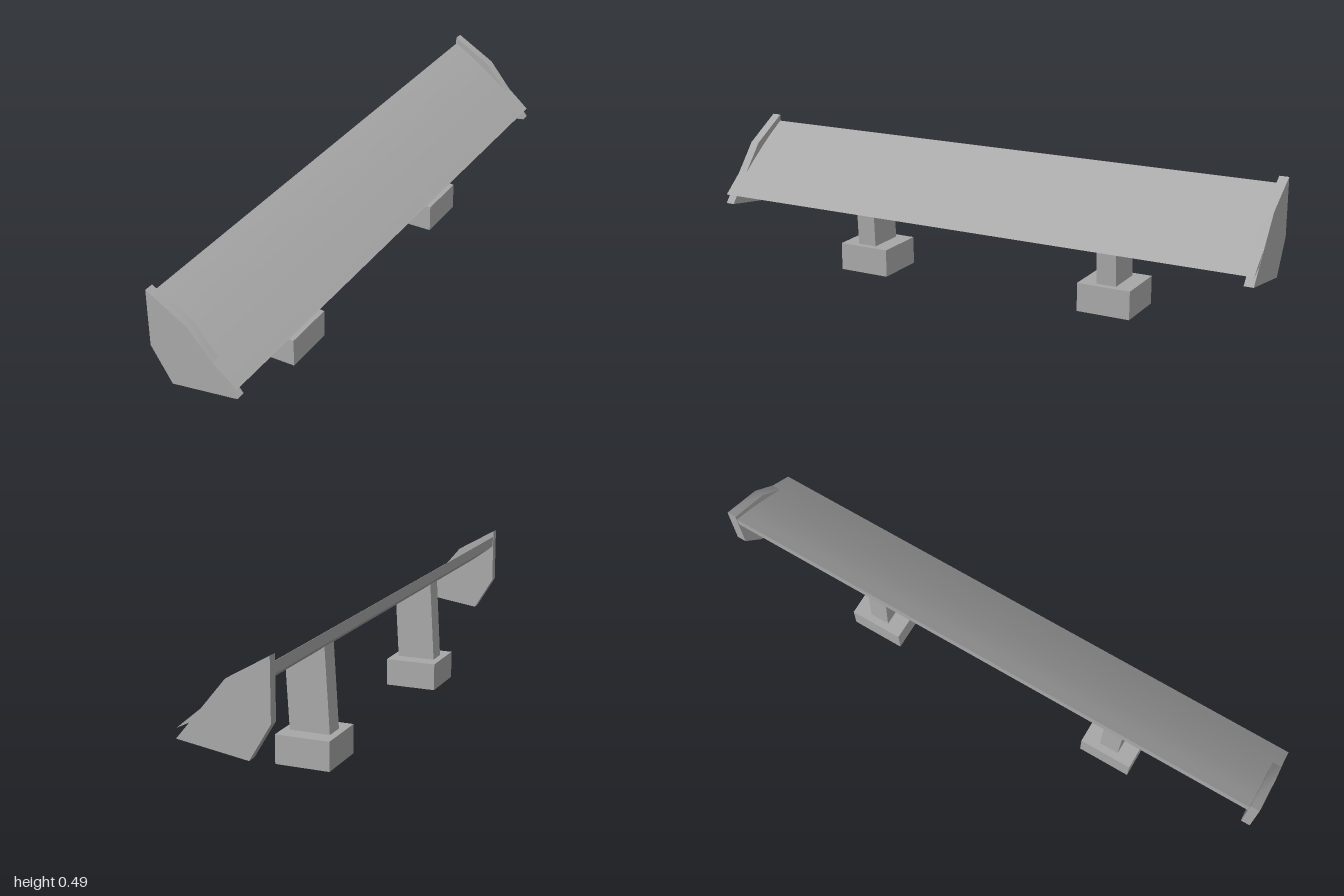
import * as THREE from 'three';
import { toCreasedNormals } from 'three/addons/utils/BufferGeometryUtils.js';

// Extrude an x-y outline along z, centred on z = 0
function slab(shape, width) {
  const geo = new THREE.ExtrudeGeometry(shape, { depth: width, bevelEnabled: false, curveSegments: 12 });
  return toCreasedNormals(geo.translate(0, 0, -width / 2), 0.4);
}

const outline = (points) => new THREE.Shape(points.map(([x, y]) => new THREE.Vector2(x, y)));
const vectors = (points) => points.map(([x, y]) => new THREE.Vector2(x, y));

export function createModel() {
  const grey = new THREE.MeshStandardMaterial({ color: 0xa8a8a8 });
  grey.name = 'plain grey';
  const model = new THREE.Group();
  model.name = 'rearWing';

  function add(parent, name, geometry, x = 0, y = 0, z = 0) {
    const mesh = new THREE.Mesh(geometry, grey);
    mesh.name = name;
    mesh.position.set(x, y, z);
    parent.add(mesh);
  }

  // Sloping blade: gently arched top, sharp leading edge, blunt trailing edge
  const blade = new THREE.Shape();
  blade.moveTo(-0.15, 0.428);
  blade.splineThru(vectors([[-0.06, 0.362], [0.03, 0.306], [0.105, 0.265], [0.148, 0.243]]));
  blade.splineThru(vectors([[0.077, 0.303], [0.0, 0.364], [-0.075, 0.418], [-0.15, 0.465]]));
  blade.closePath();
  add(model, 'wingBlade', slab(blade, 1.998));

  // End plates
  const plate = slab(outline([
    [-0.152, 0.292], [-0.082, 0.176], [0.15, 0.211], [-0.012, 0.407], [-0.152, 0.488],
  ]), 0.032);

  // Leaning posts, cut to meet the underside of the blade
  const post = slab(outline([
    [-0.104, 0.095], [0.034, 0.095], [0.046, 0.306], [-0.087, 0.392],
  ]), 0.07);

  // Square foot with a round socket opening downwards
  const foot = outline([[-0.093, -0.094], [0.093, -0.094], [0.093, 0.094], [-0.093, 0.094]]);
  const socket = new THREE.Path();
  socket.absarc(0, 0, 0.074, 0, Math.PI * 2, true);
  foot.holes.push(socket);
  const footBlock = toCreasedNormals(
    new THREE.ExtrudeGeometry(foot, { depth: 0.088, bevelEnabled: false, curveSegments: 32 }).rotateX(-Math.PI / 2), 0.6);
  const footCap = new THREE.BoxGeometry(0.186, 0.01, 0.188);

  for (const side of [1, -1]) {
    add(model, side > 0 ? 'frontEndPlate' : 'backEndPlate', plate, 0, 0, side * 0.984);

    const support = new THREE.Group();
    support.name = side > 0 ? 'frontSupport' : 'backSupport';
    support.position.z = side * 0.466;
    add(support, 'post', post);
    add(support, 'foot', footBlock, -0.0355, 0, 0);
    add(support, 'footTop', footCap, -0.0355, 0.093, 0);
    model.add(support);
  }
  return model;
}
